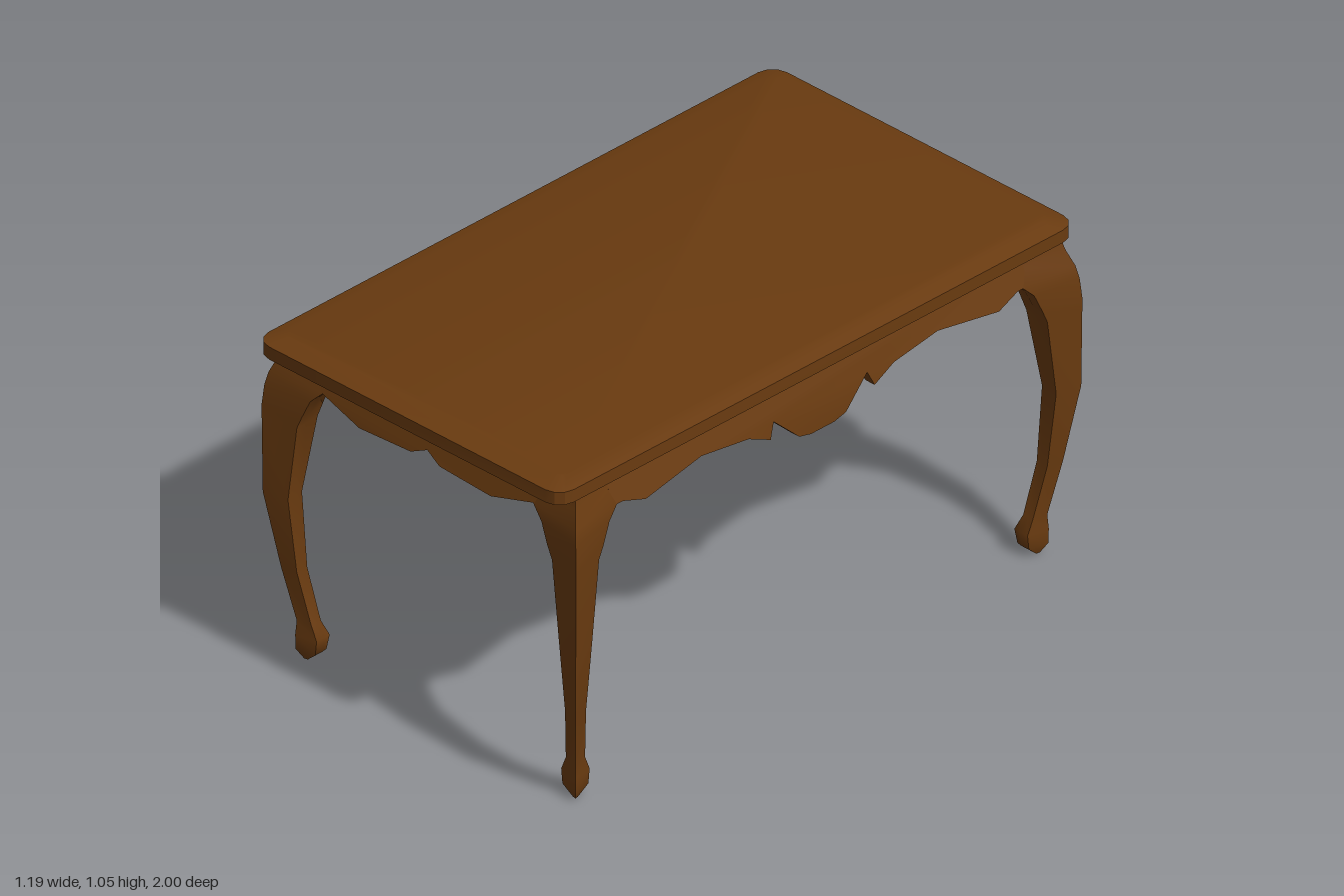
import * as THREE from 'three';
import { toCreasedNormals } from 'three/addons/utils/BufferGeometryUtils.js';

const LEG_SHIFT = -0.023; // legs and aprons sit slightly behind the top's centre
const LONG = 0.378; // extra half length of the frame along z

// Skin a stack of rings (top to bottom, clockwise seen from above) and cap both ends
function loft(rings, flip, crease) {
  const n = rings[0].length;
  const pos = rings.flat(2);
  const idx = [];
  const tri = (a, b, c) => (flip ? idx.push(a, c, b) : idx.push(a, b, c));
  for (let r = 0; r < rings.length - 1; r++) {
    for (let j = 0; j < n; j++) {
      const k = (j + 1) % n;
      const a = r * n + j, b = r * n + k, c = b + n, d = a + n;
      tri(a, b, c);
      tri(a, c, d);
    }
  }
  const last = (rings.length - 1) * n;
  for (let j = 1; j < n - 1; j++) {
    tri(0, j + 1, j);
    tri(last, last + j, last + j + 1);
  }
  const g = new THREE.BufferGeometry();
  g.setAttribute('position', new THREE.Float32BufferAttribute(pos, 3));
  g.setIndex(idx);
  return toCreasedNormals(g, crease);
}

// Rounded rectangle ring, clockwise seen from above
function roundedRing(hx, hz, radius, y) {
  const ring = [];
  for (let corner = 0; corner < 4; corner++) {
    for (let s = 0; s <= 3; s++) {
      const a = (corner + s / 3) * Math.PI / 2;
      const sx = corner === 0 || corner === 3 ? 1 : -1;
      const sz = corner < 2 ? 1 : -1;
      ring.push([
        sx * (hx - radius) + Math.cos(a) * radius, y,
        sz * (hz - radius) + Math.sin(a) * radius,
      ]);
    }
  }
  return ring;
}

// Cabriole leg profile: height, outer edge, inner edge, inner corner
const LEG = [
  [1.0, 0.555, 0.40, 0.45], [0.96, 0.565, 0.40, 0.45], [0.91, 0.584, 0.40, 0.455],
  [0.87, 0.592, 0.44, 0.465], [0.81, 0.597, 0.467, 0.48], [0.77, 0.597, 0.485, 0.49],
  [0.53, 0.595, 0.515, 0.52], [0.29, 0.56, 0.51, 0.51], [0.12, 0.53, 0.484, 0.484],
  [0.075, 0.533, 0.465, 0.467], [0.03, 0.532, 0.47, 0.473], [0, 0.516, 0.504, 0.504],
];

function legGeometry(sx, sz) {
  const rings = LEG.map(([y, o, i, c]) => {
    const w = o - i;
    const d = Math.min(0.022, w * 0.2);
    const t = d + Math.min(0.035, w * 0.45);
    return [[o, o], [i, o - d], [i, o - t], [c, c], [o - t, i], [o - d, i]]
      .map(([x, z]) => [sx * x, y, sz * (z + LONG) + LEG_SHIFT]);
  });
  return loft(rings, sx * sz < 0, 1.0);
}

// Scalloped apron: half of the lower edge from the centre outward, leaning out as it drops
function apronGeometry(half) {
  const end = half[half.length - 1][0];
  const lower = [...half.slice().reverse().map(([x, y]) => [-x, y]), ...half.filter(([x]) => x > 0)];
  const shape = new THREE.Shape(
    [...lower, [end, 1], [-end, 1]].map(([x, y]) => new THREE.Vector2(x, y)));
  const g = new THREE.ExtrudeGeometry(shape, { depth: 0.035, bevelEnabled: false });
  const p = g.attributes.position;
  for (let i = 0; i < p.count; i++) {
    p.setZ(i, p.getZ(i) - 0.035 + Math.min(0.04, (1 - p.getY(i)) * 0.33));
  }
  return toCreasedNormals(g, 0.5);
}

const END_EDGE = [[0, 0.905], [0.055, 0.88], [0.25, 0.87], [0.40, 0.91], [0.42, 0.91]];
const SIDE_EDGE = [
  [0.045, 0.811], [0.09, 0.822], [0.18, 0.905], [0.2, 0.86], [0.28, 0.895],
  [0.455, 0.915], [0.68, 0.882], [0.76, 0.907], [0.80, 0.907],
];

export function createModel() {
  const group = new THREE.Group();
  const wood = new THREE.MeshStandardMaterial({ color: 0x6a3b10 });
  wood.name = 'brown wood';
  const add = (name, geometry) => {
    const mesh = new THREE.Mesh(geometry, wood);
    mesh.name = name;
    group.add(mesh);
    return mesh;
  };

  // Top with rounded corners and a shallow sloping rim
  add('tableTop', loft([
    roundedRing(0.525, 0.942, 0.03, 1.055),
    roundedRing(0.58, 0.997, 0.055, 1.04),
    roundedRing(0.58, 0.997, 0.055, 1.0),
  ], false, 0.5));

  // Four mirrored legs
  for (const sx of [1, -1]) {
    for (const sz of [1, -1]) {
      add(`${sz > 0 ? 'front' : 'back'}${sx > 0 ? 'Left' : 'Right'}Leg`, legGeometry(sx, sz));
    }
  }

  // Aprons on the short ends and long sides
  for (const s of [1, -1]) {
    const end = add(s > 0 ? 'frontApron' : 'backApron', apronGeometry(END_EDGE));
    end.rotation.y = s > 0 ? 0 : Math.PI;
    end.position.z = s * (0.533 + LONG) + LEG_SHIFT;

    const side = add(s > 0 ? 'leftApron' : 'rightApron', apronGeometry(SIDE_EDGE));
    side.rotation.y = s * Math.PI / 2;
    side.position.set(s * 0.533, 0, LEG_SHIFT);
  }
  return group;
}
